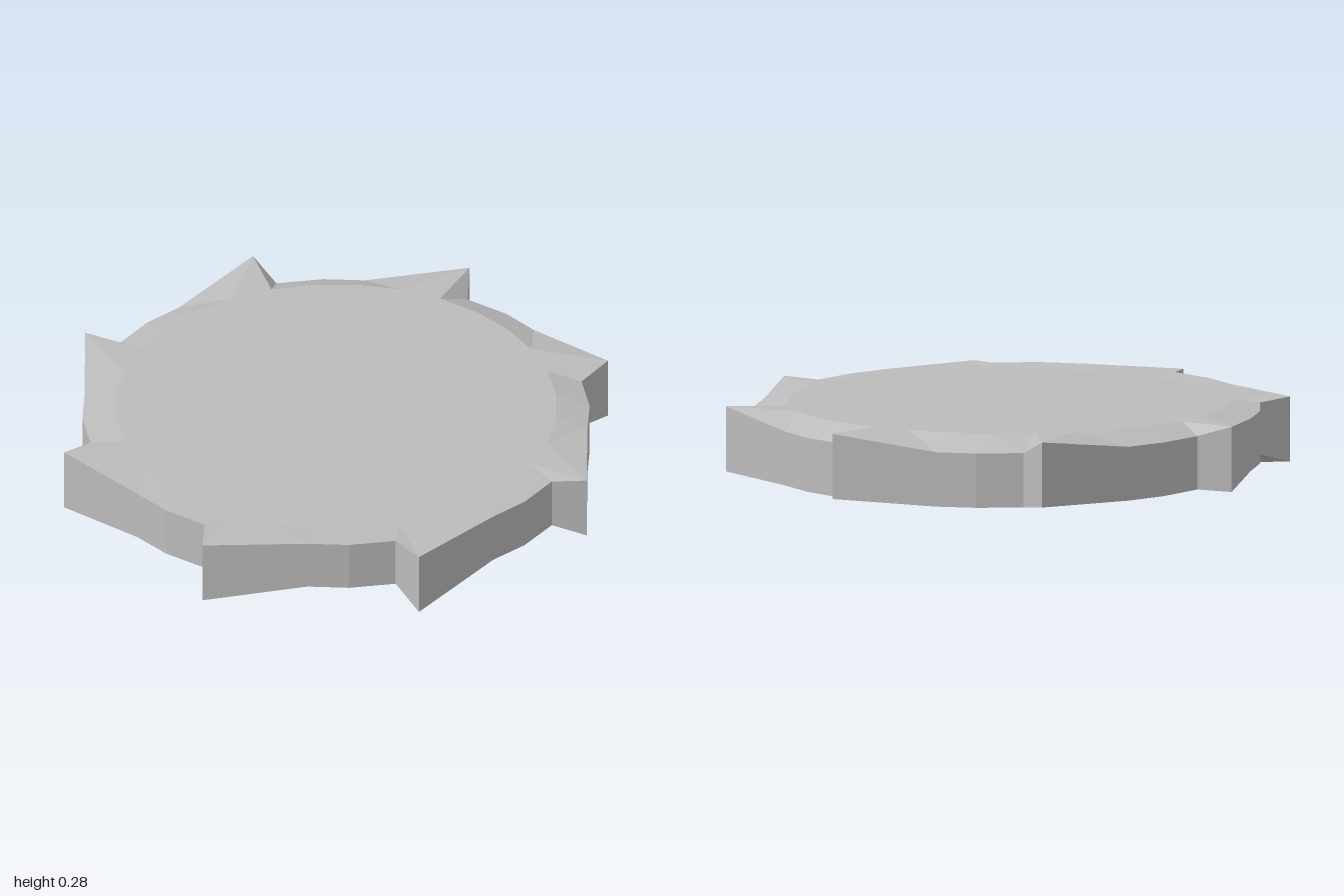
import * as THREE from 'three';

const TEETH = 8;
const TOP = 0.27, BOTTOM = 0.02, INNER = 0.84;

// One tooth of the rim: degrees past the previous tip, radius, and whether it is the tip
const TOOTH = [
  [3.3, 0.96, false],
  [14, 0.965, false],
  [23.5, 0.962, false],
  [45, 1.08, true],
];

const polar = (deg, r, y) => {
  const a = THREE.MathUtils.degToRad(deg);
  return new THREE.Vector3(r * Math.cos(a), y, r * Math.sin(a));
};

// Matching rings of the blade, from the upper face down to the lower face
function makeRings() {
  const rings = [[], [], [], []];
  for (let t = 0; t < TEETH; t++) {
    const start = 22.5 + (t * 360) / TEETH;
    TOOTH.forEach(([deg, r, tip], k) => {
      const innerDeg = start + k * 11.25;
      const rim = polar(start + deg, r, 0);
      // the rim between the tips leans down towards the back
      const high = tip ? TOP : 0.245 + 0.036 * rim.z;
      const low = tip ? BOTTOM : 0.043 + 0.043 * rim.z;
      rings[0].push(polar(innerDeg, INNER, TOP));
      rings[1].push(rim.clone().setY(high));
      rings[2].push(rim.clone().setY(low));
      rings[3].push(polar(innerDeg, INNER, BOTTOM));
    });
  }
  return rings;
}

function facets(triangles) {
  const geometry = new THREE.BufferGeometry().setFromPoints(triangles);
  geometry.computeVertexNormals();
  return geometry;
}

// Band of quads between an upper (or inner) ring and the one that follows it
function band(a, b, flip = false) {
  const out = [];
  a.forEach((p, i) => {
    const j = (i + 1) % a.length;
    if (flip) out.push(p, a[j], b[i], a[j], b[j], b[i]);
    else out.push(p, a[j], b[j], p, b[j], b[i]);
  });
  return facets(out);
}

// Flat disc filling a ring
function disc(ring, up) {
  const centre = new THREE.Vector3(0, ring[0].y, 0);
  const out = [];
  ring.forEach((p, i) => {
    const q = ring[(i + 1) % ring.length];
    out.push(centre, up ? q : p, up ? p : q);
  });
  return facets(out);
}

export function createModel() {
  const group = new THREE.Group();
  group.name = 'toothedDisc';
  const metal = new THREE.MeshStandardMaterial({ color: 0xbcbcbc });
  metal.name = 'grey metal';
  const add = (name, geometry) => {
    const mesh = new THREE.Mesh(geometry, metal);
    mesh.name = name;
    group.add(mesh);
  };

  const [upper, rimHigh, rimLow, lower] = makeRings();
  // Flat faces
  add('upperFace', disc(upper, true));
  add('lowerFace', disc(lower, false));
  // Sloped shoulders and the toothed wall
  add('upperShoulder', band(upper, rimHigh, true));
  add('toothedWall', band(rimHigh, rimLow));
  add('lowerShoulder', band(rimLow, lower));
  return group;
}
